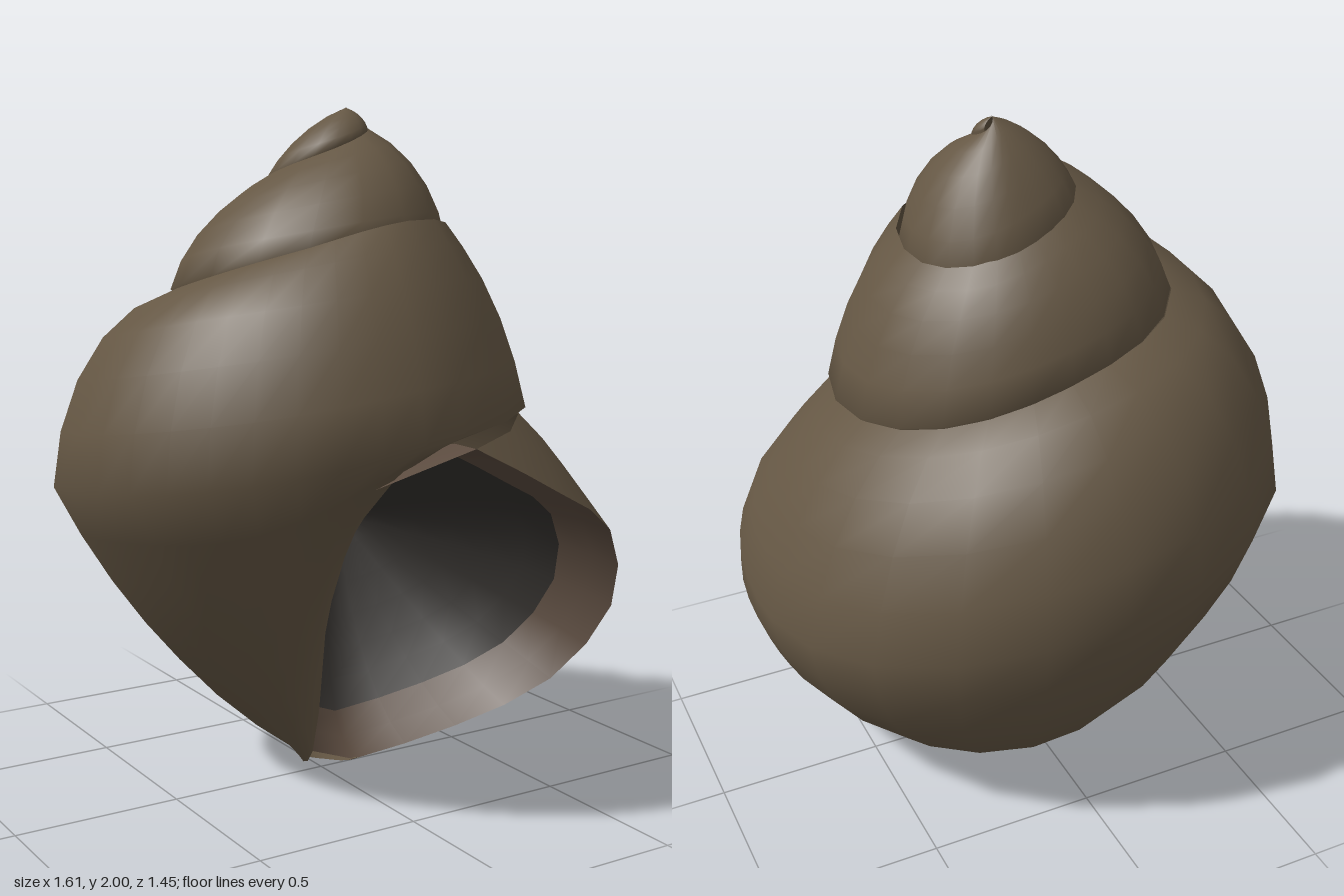
import * as THREE from 'three';

const COLS = 13, BELLY = 5;
const { lerp } = THREE.MathUtils;

// Body whorl. u counts quarter turns back from the front (1 is +x, 2 back, 3 -x):
// u, suture radius and height, belly radius and height, foot radius and height,
// fullness below and above the belly
const BODY = [
  [1, .46, 1.2, .8, .6, .1, 0, .9, .5],
  [2, .35, 1.37, .73, .82, .06, .01, .75, .85],
  [3, .47, 1.5, .805, .95, .09, .08, .25, .85],
  [3.5, .45, 1.6, .765, 1.03, .11, .09, .15, .8],
];

// Spire: u, suture radius and height, belly radius and height
const SPIRE = [
  [4, .42, 1.69, .715, 1.14],
  [5, .28, 1.64, .49, 1.2],
  [6, .16, 1.72, .37, 1.38],
  [7, .2, 1.82, .46, 1.51],
  [8, .11, 1.92, .43, 1.63],
  [9, .04, 1.96, .28, 1.61],
  [10, 0, 2, .17, 1.71],
  [11, 0, 2, .2, 1.82],
  [12, 0, 2, .11, 1.92],
  [13, 0, 2, .03, 1.97],
];

// Slanted outer lip from the suture round to the base
const LIP = [[.05, 1.1, .7], [.3, .97, .71], [.64, .78, .58], [.76, .52, .46], [.68, .24, .27], [.4, .08, .11], [.12, 0, 0]];

// Section in coiled coordinates (radius, height, u): rounded shoulder, then underside
function section([u, sr, sy, br, by, fr = 0, fy = by - .2, full = .3, shoulder = .5]) {
  return Array.from({ length: COLS }, (_, j) => {
    const upper = j <= BELLY;
    const s = upper ? j / BELLY : (j - BELLY) / (COLS - 1 - BELLY);
    const fast = Math.sin(s * Math.PI / 2), slow = 1 - Math.cos(s * Math.PI / 2);
    return upper
      ? new THREE.Vector3(lerp(sr, br, lerp(s, fast, shoulder)), lerp(sy, by, lerp(s, slow, shoulder)), u)
      : new THREE.Vector3(lerp(br, fr, lerp(s, slow, full)), lerp(by, fy, lerp(s, fast, full)), u);
  });
}

// Coiled coordinates to space; the apex leans slightly off the axis
function place({ x: r, y, z: u }) {
  const a = u * Math.PI / 2, lean = Math.max(0, (y - 1.6) / .4);
  return new THREE.Vector3(r * Math.sin(a) + .04 * lean, y, r * Math.cos(a) + .07 * lean);
}

// Surface through rows of points
function skin(rows, closed) {
  const n = rows[0].length, index = [];
  for (let i = 0; i < rows.length - 1; i++) {
    for (let j = 0; j < (closed ? n : n - 1); j++) {
      const k = (j + 1) % n, a = i * n + j, b = a + n, c = i * n + k, d = c + n;
      index.push(a, c, b, b, c, d);
    }
  }
  const g = new THREE.BufferGeometry().setFromPoints(rows.flat());
  g.setIndex(index);
  g.computeVertexNormals();
  return g;
}

function part(name, geometry, color) {
  const mesh = new THREE.Mesh(geometry, new THREE.MeshStandardMaterial({ color, side: THREE.DoubleSide }));
  mesh.name = name;
  return mesh;
}

export function createModel() {
  const group = new THREE.Group();
  group.name = 'spiralShell';

  // Coiled outer wall, smoothed along the spiral from lip to apex
  const lip = new THREE.CatmullRomCurve3(LIP.map(p => new THREE.Vector3(...p))).getSpacedPoints(COLS - 1);
  const lipSection = lip.map((p, j) => new THREE.Vector3(
    Math.hypot(p.x, p.z), p.y, j === COLS - 1 ? 1 : Math.atan2(p.x, p.z) / (Math.PI / 2)));
  const stations = [lipSection, ...BODY.map(section), ...SPIRE.map(section)];
  const columns = lip.map((_, j) => new THREE.CatmullRomCurve3(stations.map(s => s[j])));
  const steps = (stations.length - 1) * 5, rows = [];
  for (let i = 0; i <= steps; i++) rows.push(columns.map(c => place(c.getPoint(i / steps))));
  group.add(part('whorls', skin(rows, false), 0x655744));

  // Aperture: rim follows the outer lip, then the columella edge, and sinks inside
  const columella = stations[BODY.length].slice(BELLY + 1).reverse();
  const rim = [...lip, ...columella.map(place)];
  const centre = new THREE.Vector3(.27, .52, .42), drift = new THREE.Vector3(.02, .18, -.8);
  const rings = Array.from({ length: 9 }, (_, i) => {
    const t = i / 8;
    return rim.map(p => p.clone().sub(centre).multiplyScalar(1 - t ** 1.5).add(centre).addScaledVector(drift, t));
  });
  group.add(part('innerLip', skin(rings.slice(0, 3), true), 0x5c4c40));
  group.add(part('apertureInterior', skin(rings.slice(2), true), 0x35322f));
  return group;
}
